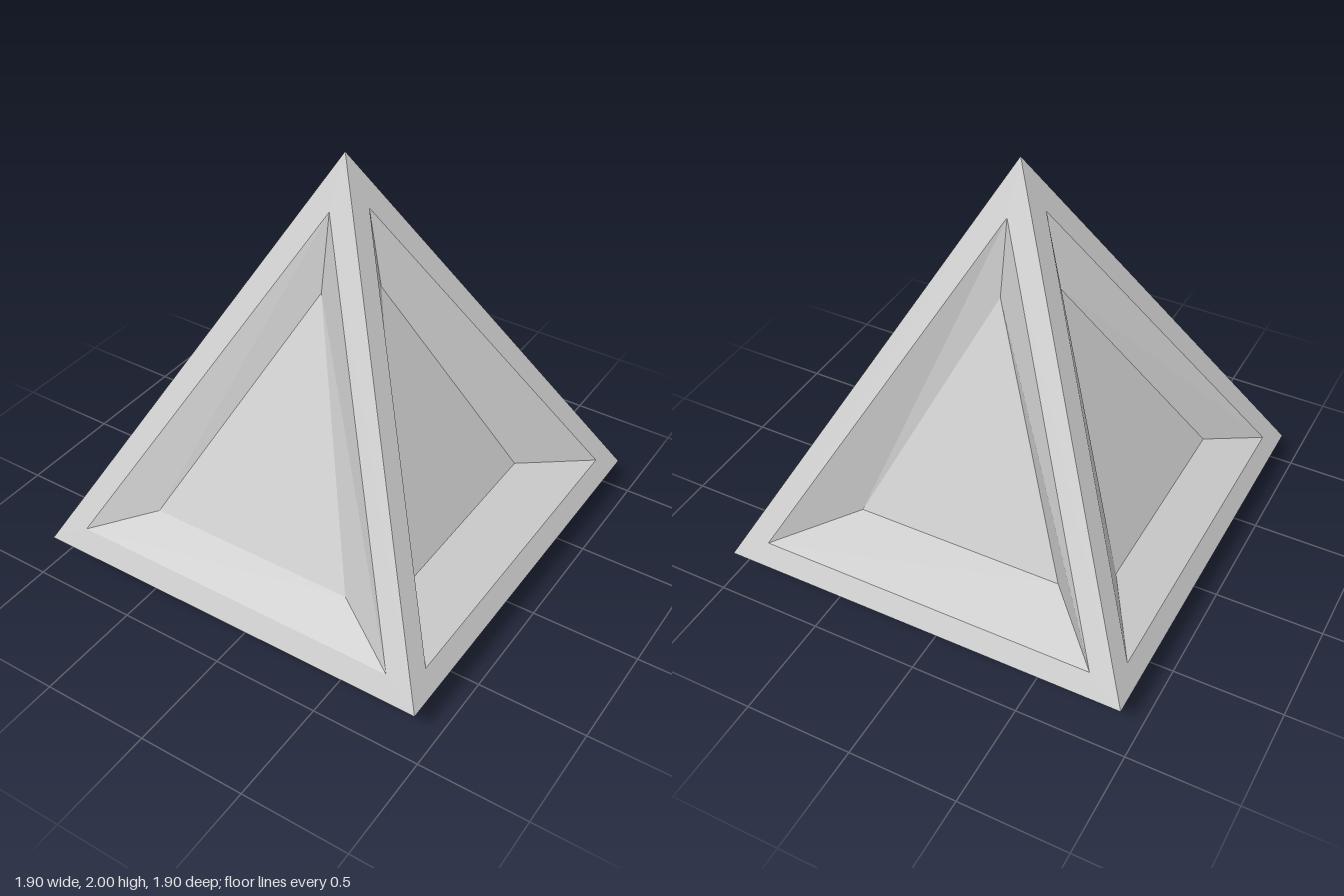
import * as THREE from 'three';

const material = new THREE.MeshStandardMaterial({ color: 0xcccccc, flatShading: true });

// Flat panels, each a convex loop of corners, counterclockwise from outside
function panels(name, loops) {
  const points = [];
  for (const loop of loops) {
    for (let i = 1; i < loop.length - 1; i++) points.push(...loop[0], ...loop[i], ...loop[i + 1]);
  }
  const geometry = new THREE.BufferGeometry();
  geometry.setAttribute('position', new THREE.Float32BufferAttribute(points, 3));
  geometry.computeVertexNormals();
  const mesh = new THREE.Mesh(geometry, material);
  mesh.name = name;
  return mesh;
}

// Quads joining an outer triangle to an inner one
const band = (outer, inner) => outer.map((p, i) => {
  const j = (i + 1) % outer.length;
  return [p, outer[j], inner[j], inner[i]];
});

const HALF = 0.95, FOOT = 0.79, SHOULDER = 0.2, APEX = 2;

// Recess floors in order front, right, back, left: left and right corner, depth from the axis
const floors = [
  { left: -0.51, right: 0.47, out: 0.715 },
  { left: -0.54, right: 0.435, out: 0.645 },
  { left: -0.465, right: 0.5, out: 0.615 },
  { left: -0.45, right: 0.525, out: 0.69 },
];

// One side of the pyramid, built facing +z
function createSide({ left, right, out }) {
  const slope = (y) => HALF * (APEX - y) / (APEX - SHOULDER);
  const edge = [[-HALF, SHOULDER, HALF], [HALF, SHOULDER, HALF], [0, APEX, 0]];
  const rim = [[-0.785, 0.295], [0.785, 0.295], [0, 1.78]].map(([x, y]) => [x, y, slope(y)]);
  const floor = [[left, 0.4, out], [right, 0.4, out], [0, 1.43, 0.178]];

  const side = new THREE.Group();
  side.add(
    panels('frame', band(edge, rim)),
    panels('recessWalls', band(rim, floor)),
    panels('recessFloor', [floor]),
    panels('baseBevel', [[[-FOOT, 0, FOOT], [FOOT, 0, FOOT], edge[1], edge[0]]]),
  );
  return side;
}

export function createModel() {
  const model = new THREE.Group();
  model.name = 'recessedPyramid';

  // Four sides turned around the axis
  const names = ['frontSide', 'leftSide', 'backSide', 'rightSide'];
  floors.forEach((floor, i) => {
    const side = createSide(floor);
    side.name = names[i];
    side.rotation.y = i * Math.PI / 2;
    model.add(side);
  });

  // Underside
  const f = FOOT;
  model.add(panels('underside', [[[-f, 0, -f], [f, 0, -f], [f, 0, f], [-f, 0, f]]]));
  return model;
}
